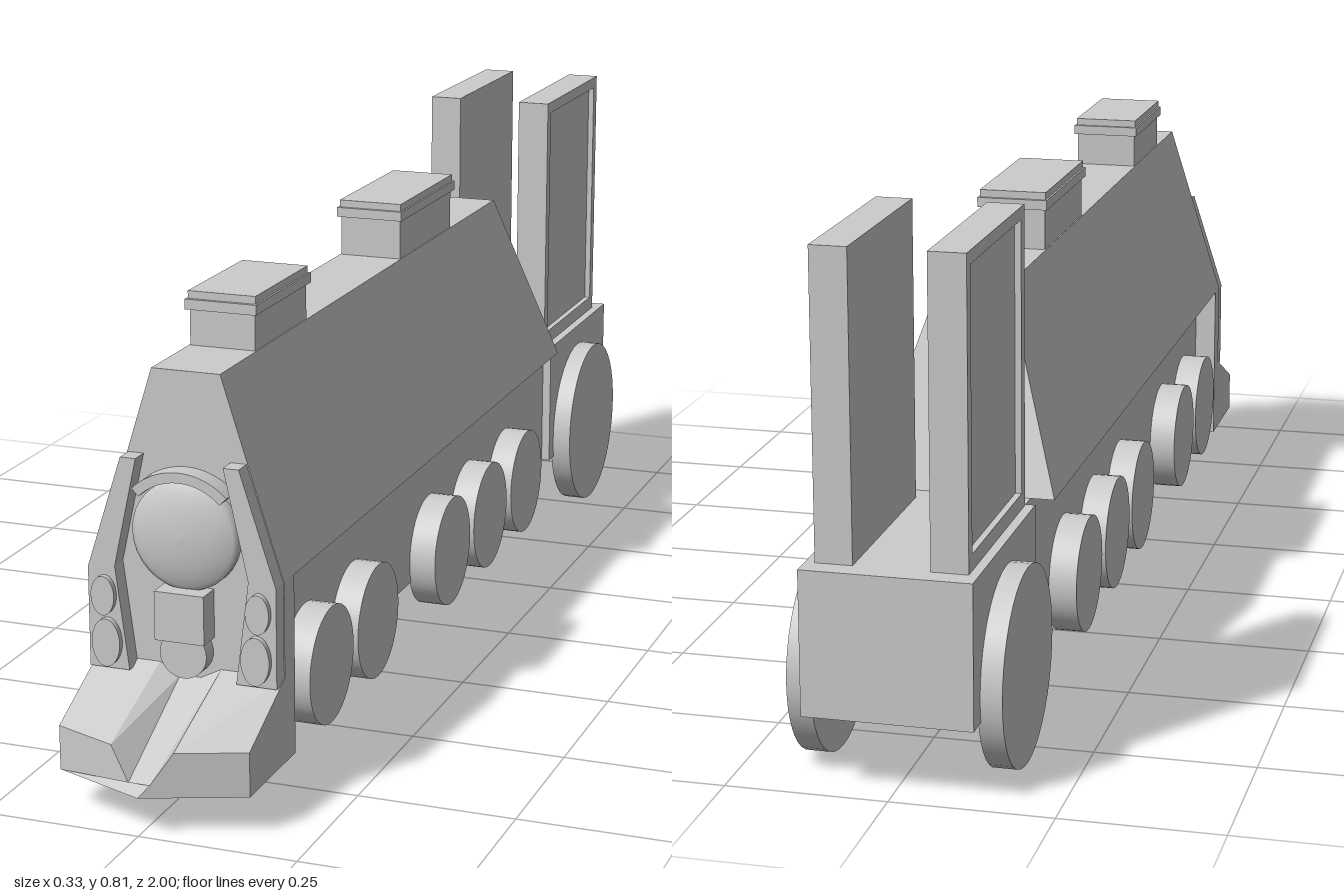
import * as THREE from 'three';

const mat = new THREE.MeshStandardMaterial({ color: 0xcccccc, side: THREE.DoubleSide });
const flat = new THREE.MeshStandardMaterial({ color: 0xcccccc, flatShading: true, side: THREE.DoubleSide });

export function createModel() {
  const model = new THREE.Group();

  const add = (name, geo, material = mat) => {
    const mesh = new THREE.Mesh(geo, material);
    mesh.name = name;
    model.add(mesh);
    return mesh;
  };
  // Box from its limits on each axis
  const box = (name, x0, x1, y0, y1, z0, z1) =>
    add(name, new THREE.BoxGeometry(x1 - x0, y1 - y0, z1 - z0))
      .position.set((x0 + x1) / 2, (y0 + y1) / 2, (z0 + z1) / 2);
  const shapeOf = pts => new THREE.Shape(pts.map(p => new THREE.Vector2(...p)));
  const plate = (pts, depth) => new THREE.ExtrudeGeometry(shapeOf(pts), { depth, bevelEnabled: false });
  // Solid joining a back outline to a front outline, both counter-clockwise from the front
  const loft = (back, front) => {
    const n = back.length, pos = [...back, ...front].flat(), idx = [];
    for (let i = 0; i < n; i++) {
      const j = (i + 1) % n;
      idx.push(i, j, n + j, i, n + j, n + i);
    }
    const caps = THREE.ShapeUtils.triangulateShape(back.map(p => new THREE.Vector2(p[0], p[1])), []);
    const frontCaps = THREE.ShapeUtils.triangulateShape(front.map(p => new THREE.Vector2(p[0], p[1])), []);
    for (const [a, b, c] of caps) idx.push(a, c, b);
    for (const [a, b, c] of frontCaps) idx.push(n + a, n + b, n + c);
    const geo = new THREE.BufferGeometry();
    geo.setAttribute('position', new THREE.Float32BufferAttribute(pos, 3));
    geo.setIndex(idx);
    const out = geo.toNonIndexed();
    out.computeVertexNormals();
    return out;
  };

  // Tapered casing with a sloping rear end
  add('casing', loft(
    [[-0.153, 0.345, -0.6], [0.153, 0.345, -0.6], [0.055, 0.655, -0.495], [-0.055, 0.655, -0.495]],
    [[-0.153, 0.345, 0.8], [0.153, 0.345, 0.8], [0.055, 0.655, 0.8], [-0.055, 0.655, 0.8]]), flat);

  // Frame, rear body and front plate
  box('frame', -0.115, 0.115, 0.12, 0.345, -0.64, 0.76);
  box('rearBody', -0.13, 0.13, 0.12, 0.345, -1, -0.63);
  box('frontPlate', -0.153, 0.153, 0.06, 0.345, 0.76, 0.8);

  // Pointed pilot with a sloping channel down the middle
  const pilotEnd = (top, floor, zAt) =>
    [[-0.153, 0.06], [0, 0.06], [0.153, 0.06], [0.153, top], [0.05, top], [0.017, floor],
      [-0.017, floor], [-0.05, top], [-0.153, top]].map(([x, y]) => [x, y, zAt(x)]);
  add('pilot', loft(pilotEnd(0.195, 0.178, () => 0.8),
    pilotEnd(0.13, 0.08, x => 1 - 0.06 * Math.abs(x) / 0.153)), flat);

  // Roof vents with a lipped cap
  for (const [z0, z1, top] of [[0.45, 0.66, 0.74], [-0.25, 0.015, 0.75]]) {
    box('ventBody', -0.053, 0.053, 0.62, top - 0.02, z0, z1);
    box('ventLip', -0.058, 0.058, top - 0.028, top - 0.012, z0 - 0.008, z1 + 0.008);
    box('ventCap', -0.055, 0.055, top - 0.012, top, z0 - 0.002, z1 + 0.002);
  }

  // Wheels: five small pairs and one large rear pair
  const wheels = [[0.622, 0.095], [0.413, 0.095], [0.04, 0.095], [-0.17, 0.095], [-0.385, 0.095], [-0.81, 0.154]];
  for (const side of [-1, 1]) {
    for (const [z, r] of wheels) {
      const inner = r > 0.1 ? 0.126 : 0.113, outer = r > 0.1 ? 0.163 : 0.16;
      const wheel = add(r > 0.1 ? 'rearWheel' : 'smallWheel', new THREE.CylinderGeometry(r, r, outer - inner, 40));
      wheel.rotation.z = Math.PI / 2;
      wheel.position.set(side * (inner + outer) / 2, 0.154, z);
    }

    // Tall rear side wall with a recessed outer panel
    const ax = (a, b) => side > 0 ? [a, b] : [-b, -a];
    box('sideWall', ...ax(0.058, 0.105), 0.345, 0.815, -0.965, -0.635);
    const rim = shapeOf([[-0.965, 0.345], [-0.635, 0.345], [-0.635, 0.815], [-0.965, 0.815]]);
    rim.holes.push(new THREE.Path([[-0.945, 0.37], [-0.945, 0.795], [-0.655, 0.795], [-0.655, 0.37]]
      .map(p => new THREE.Vector2(...p))));
    const frame = add('sideWallRim', new THREE.ExtrudeGeometry(rim, { depth: 0.01, bevelEnabled: false }));
    frame.rotation.y = -Math.PI / 2;
    frame.position.x = side > 0 ? 0.115 : -0.105;

    // Front cheek and its two oval lamps
    const cheek = [[0.07, 0.522], [0.108, 0.35], [0.087, 0.187], [0.152, 0.187], [0.152, 0.345], [0.095, 0.522]]
      .map(([x, y]) => [side * x, y]);
    add('frontCheek', plate(cheek, 0.03)).position.z = 0.8;
    for (const [x, y, rx, ry] of [[0.121, 0.23, 0.023, 0.038], [0.125, 0.304, 0.019, 0.031]]) {
      const lamp = add('ovalLamp', new THREE.CylinderGeometry(1, 1, 0.012, 32));
      lamp.rotation.x = Math.PI / 2;
      lamp.scale.set(rx, 1, ry);
      lamp.position.set(side * x, y, 0.834);
    }
  }

  // Headlight: stepped rim and shallow dome
  const lens = [[0.086, 0], [0.086, 0.014], [0.079, 0.018], [0.065, 0.024], [0.045, 0.029], [0.022, 0.032], [0, 0.033]];
  const headlight = add('headlight', new THREE.LatheGeometry(lens.map(p => new THREE.Vector2(...p)), 32));
  headlight.rotation.x = Math.PI / 2;
  headlight.position.set(0, 0.405, 0.798);

  // Hood arched over the headlight
  const hood = new THREE.Shape();
  hood.absarc(0, 0.4, 0.108, Math.PI * 0.25, Math.PI * 0.75, false);
  hood.absarc(0, 0.4, 0.092, Math.PI * 0.75, Math.PI * 0.25, true);
  add('headlightHood', new THREE.ExtrudeGeometry(hood, { depth: 0.035, bevelEnabled: false, curveSegments: 20 }))
    .position.z = 0.798;

  // Box and round fitting under the headlight
  box('frontBox', -0.04, 0.04, 0.245, 0.322, 0.795, 0.84);
  const fitting = add('roundFitting', new THREE.CylinderGeometry(0.038, 0.038, 0.03, 32));
  fitting.rotation.x = Math.PI / 2;
  fitting.position.set(0, 0.222, 0.812);

  return model;
}
